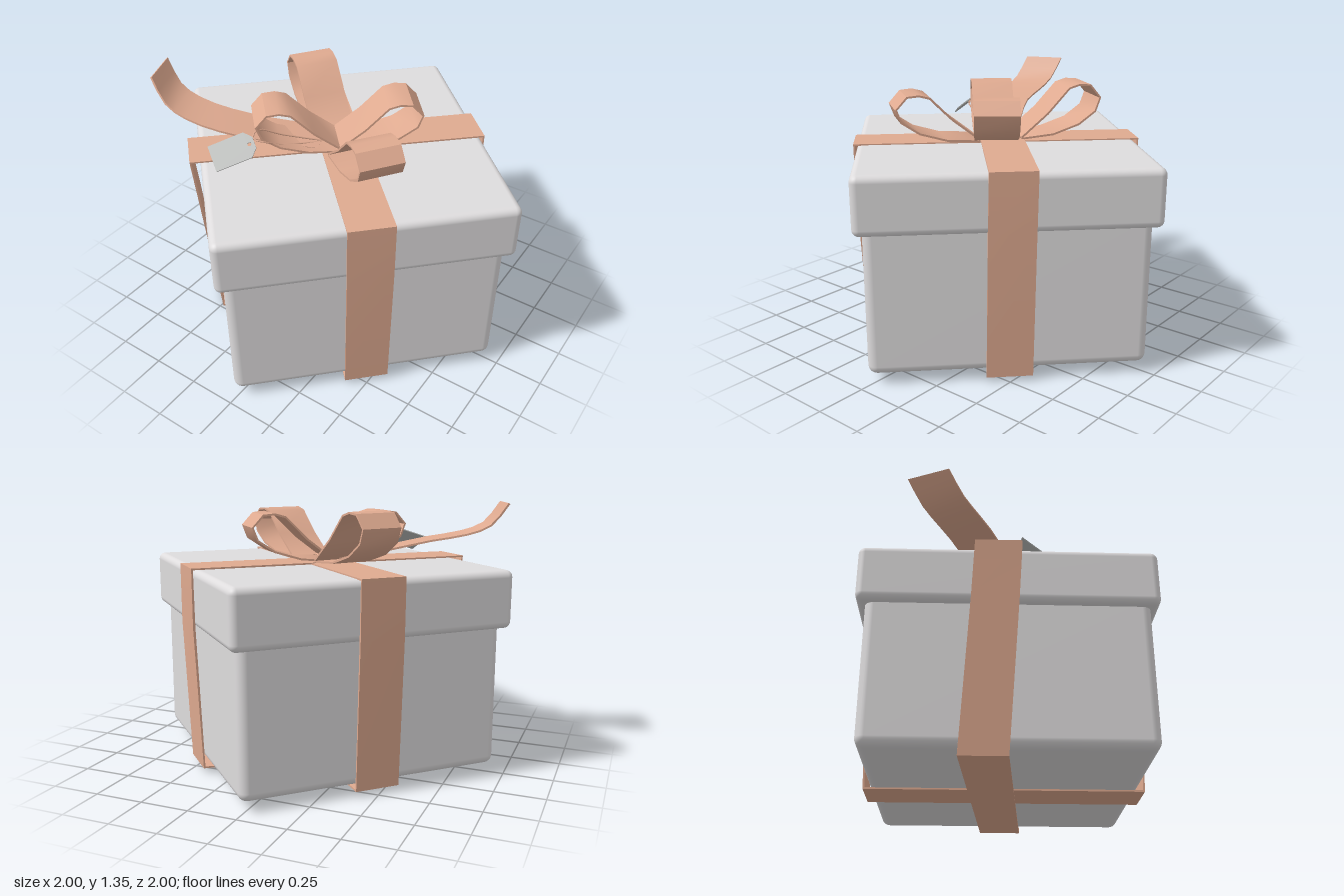
import * as THREE from 'three';
import { toCreasedNormals } from 'three/addons/utils/BufferGeometryUtils.js';
import { RoundedBoxGeometry } from 'three/addons/geometries/RoundedBoxGeometry.js';

const V = (x, y, z) => new THREE.Vector3(x, y, z);
const material = (name, color) => {
  const m = new THREE.MeshStandardMaterial({ color });
  m.name = name;
  return m;
};

// Sweeps a thin rectangular section along points; lateral is the width direction.
function ribbonGeometry(points, lateral, width, thickness = 0.012, closed = false) {
  const n = points.length, l = lateral.clone().normalize();
  const rings = points.map((p, i) => {
    const prev = points[closed ? (i + n - 1) % n : Math.max(i - 1, 0)];
    const next = points[closed ? (i + 1) % n : Math.min(i + 1, n - 1)];
    const t1 = p.clone().sub(prev).normalize(), t2 = next.clone().sub(p).normalize();
    const up = t1.add(t2).cross(l).normalize();
    return [[1, 1], [-1, 1], [-1, -1], [1, -1]].map(([a, b]) => p.clone()
      .addScaledVector(l, a * width / 2).addScaledVector(up, b * thickness / 2));
  });
  const pos = [];
  const quad = (a, b, c, d) => [a, b, c, a, c, d].forEach((v) => pos.push(v.x, v.y, v.z));
  const segments = closed ? n : n - 1;
  for (let i = 0; i < segments; i++) {
    const r = rings[i], s = rings[(i + 1) % n];
    for (let k = 0; k < 4; k++) quad(r[k], r[(k + 1) % 4], s[(k + 1) % 4], s[k]);
  }
  if (!closed) {
    const [a, b, c, d] = rings[0];
    quad(a, d, c, b);
    quad(...rings[n - 1]);
  }
  const geo = new THREE.BufferGeometry();
  geo.setAttribute('position', new THREE.Float32BufferAttribute(pos, 3));
  return toCreasedNormals(geo, 0.65);
}

export function createModel() {
  const model = new THREE.Group();
  model.name = 'giftBox';
  const paper = material('box grey', 0xdedcdd);
  const satin = material('ribbon copper', 0xdfaa90);
  const card = material('tag grey', 0xb4b6b4);

  const add = (parent, name, geo, mat) => {
    const mesh = new THREE.Mesh(geo, mat);
    mesh.name = name;
    parent.add(mesh);
    return mesh;
  };

  // Box and wrapped bands, turned so a corner faces the front
  const wrapped = new THREE.Group();
  wrapped.name = 'wrappedBox';
  wrapped.rotation.y = -Math.PI / 4;
  model.add(wrapped);

  add(wrapped, 'boxBody', new RoundedBoxGeometry(1.35, 0.78, 1.35, 4, 0.045), paper)
    .position.y = 0.44;
  add(wrapped, 'lid', new RoundedBoxGeometry(1.434, 0.287, 1.434, 4, 0.035), paper)
    .position.y = 0.9015;

  // Slightly skewed band
  add(wrapped, 'skewedBand', ribbonGeometry([
    V(-0.01, 1.05, -0.727), V(-0.05, 1.05, 0.765), V(-0.065, 0.76, 0.74),
    V(-0.113, 0.006, 0.685), V(0, 0.03, -0.692), V(-0.005, 0.76, -0.724),
  ], V(1, 0, 0), 0.225, 0.012, true), satin);

  // Straight band
  add(wrapped, 'straightBand', ribbonGeometry([
    V(-0.73, 1.047, 0), V(-0.724, 0.76, 0), V(-0.692, 0.035, 0),
    V(0.692, 0.035, 0), V(0.724, 0.76, 0), V(0.728, 1.047, 0),
  ], V(0, 0, 1), 0.225, 0.012, true), satin);

  // Bow loops: one teardrop profile, pointed in four directions
  const profile = [
    [0, 1.062], [0.14, 1.17], [0.255, 1.285], [0.31, 1.3], [0.37, 1.295],
    [0.425, 1.235], [0.4, 1.17], [0.31, 1.11], [0.17, 1.068], [0, 1.056],
  ];
  const loops = [
    ['backLeftLoop', 0.76, -0.65, -0.03, 0],
    ['backRightLoop', -0.815, -0.58, 0.11, 0.022],
    ['frontRightLoop', -0.72, 0.69, 0.01, 0],
    ['frontLeftLoop', 0.815, 0.58, 0.11, 0],
  ];
  const bow = new THREE.Group();
  bow.name = 'bow';
  model.add(bow);
  for (const [name, dx, dz, start, lift] of loops) {
    const pts = profile.map(([s, y]) =>
      V(dx * (s + start), y + lift * (y - 1.05) / 0.25, dz * (s + start)));
    add(bow, name, ribbonGeometry(pts, V(-dz, 0, dx), 0.222, 0.01), satin);
  }

  // Loose ribbon tail curling up at its end
  const tail = new THREE.CatmullRomCurve3([
    V(-0.08, 1.065, 0.05), V(-0.3, 1.105, 0.19), V(-0.5, 1.15, 0.3),
    V(-0.68, 1.185, 0.345), V(-0.8, 1.235, 0.353), V(-0.89, 1.35, 0.34),
  ]);
  add(bow, 'ribbonTail', ribbonGeometry(tail.getPoints(10), V(0.08, 0, 0.2), 0.215, 0.01), satin);

  // Gift tag with clipped corners and a string hole
  const outline = new THREE.Shape([
    [0, 0], [0.139, 0], [0.139, 0.185], [0.1, 0.22], [0.039, 0.22], [0, 0.185],
  ].map(([x, y]) => new THREE.Vector2(x, y)));
  outline.holes.push(new THREE.Path().absarc(0.07, 0.195, 0.01, 0, Math.PI * 2, true));
  const tag = add(model, 'giftTag',
    new THREE.ExtrudeGeometry(outline, { depth: 0.006, bevelEnabled: false, curveSegments: 6 }), card);
  const across = V(0.1, -0.075, 0.06).normalize();
  const normal = across.clone().cross(V(0.13, 0.075, -0.16)).normalize();
  const along = normal.clone().cross(across);
  tag.applyMatrix4(new THREE.Matrix4().makeBasis(across, along, normal).setPosition(-0.43, 1.135, 0.52));

  // String from the tag to the knot
  const string = new THREE.CatmullRomCurve3([
    V(-0.05, 1.06, 0.06), V(-0.17, 1.11, 0.27), V(-0.2, 1.16, 0.36), V(-0.26, 1.17, 0.38),
    V(-0.27, 1.19, 0.33), V(-0.2, 1.13, 0.22), V(-0.05, 1.06, 0.06),
  ]);
  add(model, 'tagString', new THREE.TubeGeometry(string, 32, 0.004, 6), satin);

  return model;
}
